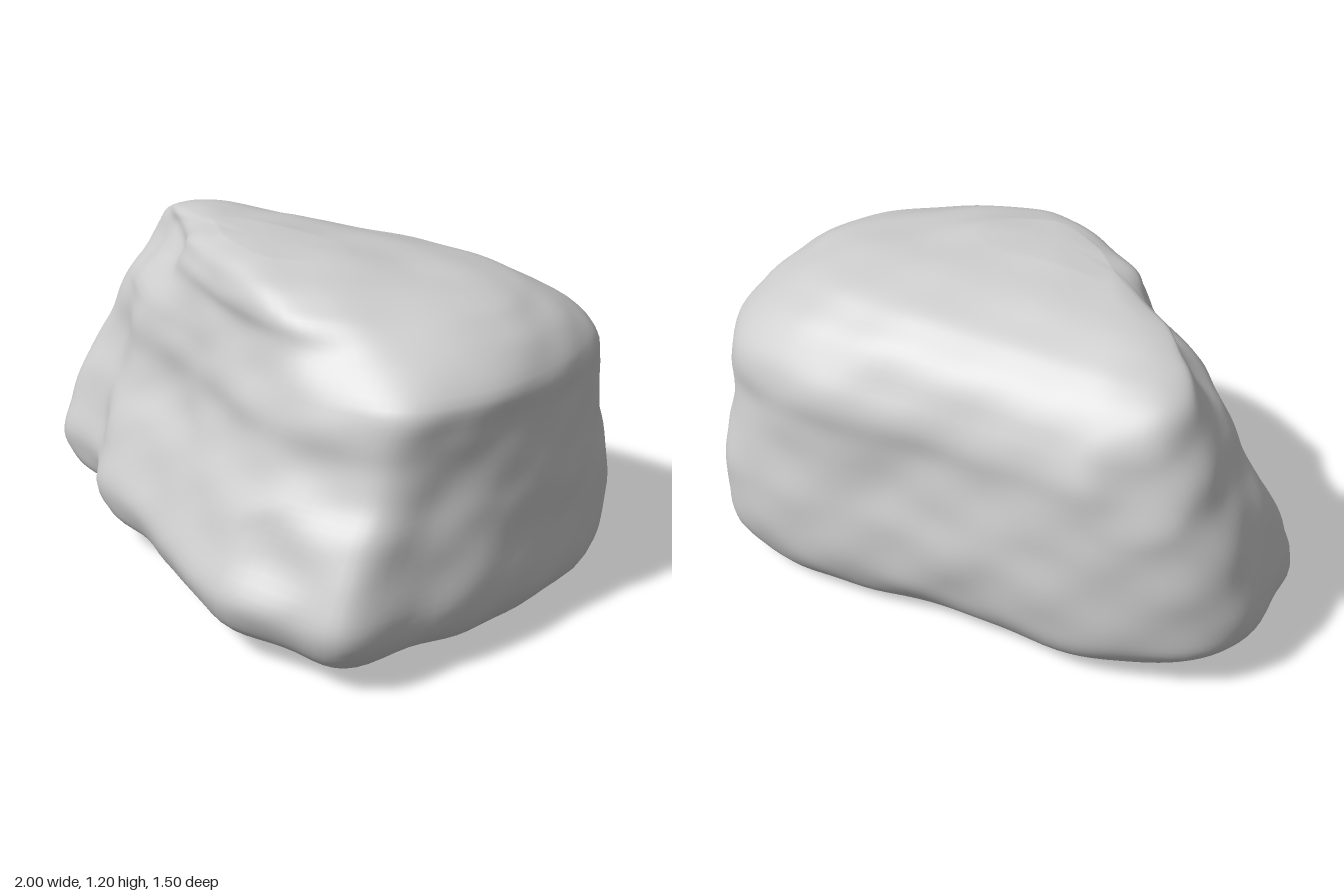
import * as THREE from 'three';

// Outlines (x, z), running from the left tip around the back, right side and front
const BASE = [[-1, -.15], [-.92, -.3], [-.72, -.44], [-.5, -.52], [-.2, -.57], [.1, -.65], [.35, -.72], [.58, -.75],
  [.82, -.72], [.95, -.55], [1, -.2], [.98, .15], [.91, .4], [.83, .66], [.65, .71], [.4, .75], [.1, .66], [-.2, .54],
  [-.47, .5], [-.67, .33], [-.9, .29], [-.97, .08]];
const SHOULDER = [[-.8, -.2], [-.76, -.33], [-.62, -.42], [-.42, -.46], [-.2, -.5], [.1, -.56], [.35, -.63], [.58, -.66],
  [.8, -.62], [.92, -.48], [.98, -.2], [.95, .08], [.89, .23], [.8, .36], [.65, .43], [.42, .46], [.1, .4], [-.2, .32],
  [-.42, .26], [-.58, .17], [-.71, .06], [-.78, -.07]];
const CROWN = [[-.72, -.2], [-.69, -.31], [-.57, -.4], [-.4, -.45], [-.2, -.49], [.1, -.55], [.35, -.61], [.56, -.62],
  [.74, -.56], [.85, -.43], [.9, -.24], [.87, -.08], [.8, .06], [.7, .18], [.57, .29], [.38, .39], [.1, .36], [-.15, .26],
  [-.33, .16], [-.47, .04], [-.58, -.06], [-.67, -.13]];

// Levels: height, outline (0 base, 1 shoulder, 2 crown), xMin, xMax, zMin, zMax
const LEVELS = [
  [.045, 0, -.78, .82, -.55, .55], [.07, 0, -.9, .91, -.65, .67], [.15, 0, -.99, .98, -.72, .73],
  [.25, 0, -1, 1, -.75, .75], [.38, .1, -.98, .99, -.75, .69], [.5, .25, -.96, .985, -.73, .63],
  [.6, .4, -.93, .975, -.71, .56], [.7, .55, -.89, .97, -.7, .52], [.8, .75, -.85, .97, -.7, .51],
  [.9, 1, -.8, .98, -.66, .47], [1, 1.5, -.76, .92, -.57, .42], [1.06, 1.85, -.71, .84, -.48, .41],
  [1.1, 2, -.65, .76, -.4, .39], [1.14, 2, -.56, .6, -.27, .35], [1.165, 2, -.42, .42, -.14, .3],
  [1.18, 2, -.25, .28, 0, .24]];

// Shallow chips: centre, radius, depth
const CHIPS = [[-.42, 1.08, .15, .2, .04], [-.62, 1.0, .05, .16, .03], [.5, .4, .66, .18, .03],
  [-.72, .8, -.4, .2, .03], [.1, .5, -.68, .35, .03], [-.2, .75, .42, .3, .015]];

const SEGMENTS = 112;
const ROWS_PER_LEVEL = 4;

const outlinePoints = (pts) => {
  const curve = new THREE.CatmullRomCurve3(pts.map(([x, z]) => new THREE.Vector3(x, 0, z)), true, 'centripetal');
  // Uniform parameter keeps matching corners together in all outlines
  return Array.from({ length: SEGMENTS }, (_, i) => curve.getPoint(i / SEGMENTS));
};

// Smooth interpolation of one column of the level table
const levelAt = (s, column) => {
  const last = LEVELS.length - 1;
  const i = Math.min(Math.floor(s), last - 1), t = s - i;
  const v = (k) => LEVELS[THREE.MathUtils.clamp(k, 0, last)][column];
  const a = v(i - 1), b = v(i), c = v(i + 1), d = v(i + 2);
  return b + .5 * t * (c - a + t * (2 * a - 5 * b + 4 * c - d + t * (3 * (b - c) + d - a)));
};

const remap = (v, lo, hi, newLo, newHi) => newLo + (v - lo) / (hi - lo) * (newHi - newLo);

// Layered waves give an irregular weathered surface
const bumps = (p) =>
  .008 * Math.sin(5 * p.x + 3 * p.y + 1) * Math.sin(8 * p.y - 4 * p.z + 2) +
  .005 * Math.sin(11 * p.x - 8 * p.z + 5 * p.y) * Math.sin(15 * p.y + 6 * p.x) +
  .003 * Math.sin(23 * p.z + 11 * p.x) * Math.sin(27 * p.y - 9 * p.x + 1);

function rockGeometry() {
  const outlines = [BASE, SHOULDER, CROWN].map(outlinePoints);
  const positions = [], index = [];
  const rows = (LEVELS.length - 1) * ROWS_PER_LEVEL;
  const centre = new THREE.Vector3(.08, .55, -.05);
  const p = new THREE.Vector3(), out = new THREE.Vector3();

  for (let r = 0; r <= rows; r++) {
    const s = r / ROWS_PER_LEVEL;
    const [y, shape, x0, x1, z0, z1] = [0, 1, 2, 3, 4, 5].map((c) => levelAt(s, c));
    const lower = shape < 1 ? 0 : 1;
    const loop = outlines[lower].map((b, i) => b.clone().lerp(outlines[lower + 1][i], shape - lower));
    const box = new THREE.Box3().setFromPoints(loop);
    const tilt = Math.max(0, 1 - y / .35);
    for (const q of loop) {
      p.set(remap(q.x, box.min.x, box.max.x, x0, x1), y, remap(q.z, box.min.z, box.max.z, z0, z1));
      // The open lower rim rises to the front and falls to the right
      p.y += tilt * (.065 * p.z - .035 * p.x);
      out.copy(p).sub(centre).normalize();
      let push = bumps(p) * (r === 0 ? .4 : 1);
      for (const [x, cy, z, radius, depth] of CHIPS) {
        const d = Math.hypot(p.x - x, p.y - cy, p.z - z) / radius;
        if (d < 1) push -= depth * (1 - d * d) ** 2;
      }
      p.addScaledVector(out, push);
      positions.push(p.x, Math.max(0, p.y), p.z);
    }
  }
  for (let r = 0; r < rows; r++) {
    for (let i = 0; i < SEGMENTS; i++) {
      const j = (i + 1) % SEGMENTS, a = r * SEGMENTS, b = a + SEGMENTS;
      index.push(a + i, b + i, a + j, a + j, b + i, b + j);
    }
  }
  // Crown cap
  const apex = positions.length / 3, top = rows * SEGMENTS;
  positions.push(.03, 1.195, .15);
  for (let i = 0; i < SEGMENTS; i++) index.push(top + i, apex, top + (i + 1) % SEGMENTS);

  const geometry = new THREE.BufferGeometry();
  geometry.setAttribute('position', new THREE.Float32BufferAttribute(positions, 3));
  geometry.setIndex(index);
  geometry.computeVertexNormals();
  return geometry;
}

export function createModel() {
  const group = new THREE.Group();
  group.name = 'boulder';
  const material = new THREE.MeshStandardMaterial({ color: 0xcccccc, side: THREE.DoubleSide });
  const rock = new THREE.Mesh(rockGeometry(), material);
  rock.name = 'rockShell';
  group.add(rock);
  return group;
}
